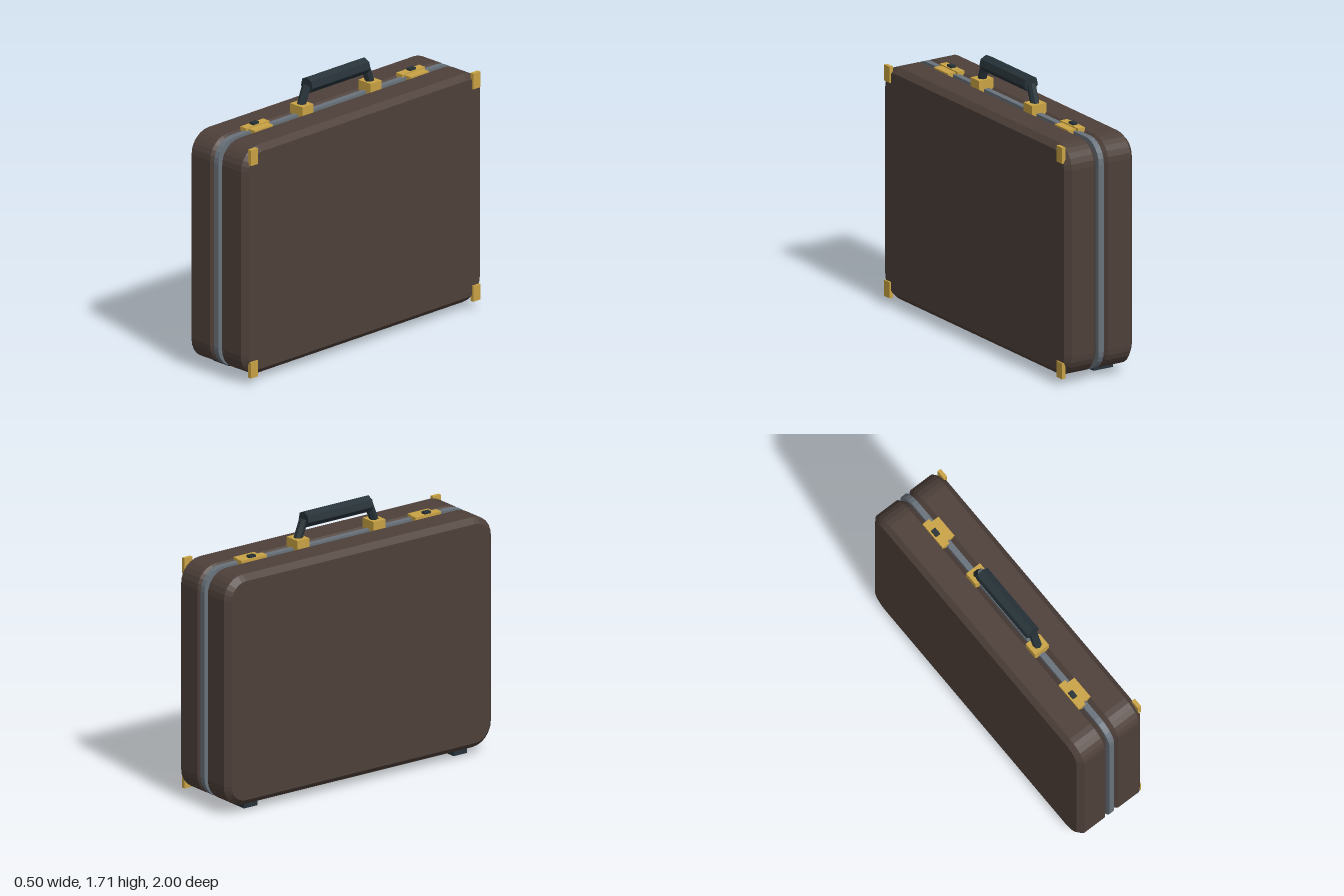
import * as THREE from 'three';

const mat = (name, color, flat = true) => {
  const m = new THREE.MeshStandardMaterial({ color, flatShading: flat });
  m.name = name;
  return m;
};

// Rounded case outline in the z-y plane
function caseOutline() {
  const z = 1, lo = 0.05, hi = 1.5, r = 0.14;
  const s = new THREE.Shape();
  s.absarc(z - r, lo + r, r, -Math.PI / 2, 0, false);
  s.absarc(z - r, hi - r, r, 0, Math.PI / 2, false);
  s.absarc(-z + r, hi - r, r, Math.PI / 2, Math.PI, false);
  s.absarc(-z + r, lo + r, r, Math.PI, Math.PI * 1.5, false);
  s.closePath();
  return s;
}

// Extrudes the outline between two x positions, with an optional chamfer
function slab(x0, x1, chamfer) {
  const t = chamfer ? 0.033 : 0;
  const g = new THREE.ExtrudeGeometry(caseOutline(), {
    depth: x1 - x0 - 2 * t, curveSegments: 3, bevelEnabled: chamfer,
    bevelThickness: t, bevelSize: 0.035, bevelOffset: -0.035, bevelSegments: 1,
  });
  g.rotateY(Math.PI / 2);
  g.translate(x0 + t, 0, 0);
  return g;
}

export function createModel() {
  const brown = mat('brown leather', 0x4e403a);
  const gold = mat('gold brass', 0xc9a344);
  const steel = mat('grey steel', 0x69727b);
  const dark = mat('dark handle', 0x263238);

  const model = new THREE.Group();
  model.name = 'briefcase';
  const add = (name, geo, material) => {
    const m = new THREE.Mesh(geo, material);
    m.name = name;
    model.add(m);
    return m;
  };
  // Box given by its minimum and maximum on each axis
  const box = (name, material, x0, x1, y0, y1, z0, z1) => {
    const m = add(name, new THREE.BoxGeometry(x1 - x0, y1 - y0, Math.abs(z1 - z0)), material);
    m.position.set((x0 + x1) / 2, (y0 + y1) / 2, (z0 + z1) / 2);
  };

  // Two shells and the metal rim between them
  add('rightShell', slab(-0.25, -0.027, true), brown);
  add('leftShell', slab(0.01, 0.235, true), brown);
  add('rim', slab(-0.027, 0.01, false), steel);

  // Grip
  const grip = new THREE.CylinderGeometry(0.05, 0.05, 0.485, 7);
  grip.rotateX(-Math.PI / 2);
  grip.rotateZ(Math.PI);
  const top = grip.clone();
  top.computeBoundingBox();
  if (top.boundingBox.max.y < 0.049) grip.rotateZ(Math.PI); // ridge faces up
  add('grip', grip, dark).position.set(-0.008, 1.66, 0);

  for (const s of [1, -1]) {
    // Handle arm, leaning in towards the grip
    const a = new THREE.Vector3(-0.008, 1.52, s * 0.296);
    const b = new THREE.Vector3(-0.008, 1.66, s * 0.243);
    const dir = b.clone().sub(a);
    const arm = add('handleArm', new THREE.CylinderGeometry(0.028, 0.028, dir.length(), 7), dark);
    arm.position.copy(a).add(b).multiplyScalar(0.5);
    arm.quaternion.setFromUnitVectors(new THREE.Vector3(0, 1, 0), dir.normalize());
    box('handleMount', gold, -0.06, 0.045, 1.48, 1.555, s * 0.24, s * 0.33);

    // Latch plates and button
    box('latchPlate', gold, -0.06, -0.009, 1.475, 1.517, s * 0.555, s * 0.748);
    box('latchCatch', gold, -0.009, 0.045, 1.475, 1.51, s * 0.575, s * 0.728);
    box('latchButton', dark, -0.05, -0.018, 1.515, 1.53, s * 0.632, s * 0.68);

    // Corner plates
    for (const y of [0.05, 1.4]) {
      box('cornerPlate', gold, 0.222, 0.246, y, y + 0.1, s * 0.9, s * 0.96);
    }

    // Foot
    box('foot', dark, -0.2, -0.062, 0.014, 0.055, s * 0.735, s * 0.835);

    // Hinge knuckles, two side by side
    for (const z of [0.447, 0.602]) {
      for (const x of [-0.028, 0.008]) {
        const g = new THREE.CylinderGeometry(0.026, 0.026, 0.106, 7);
        g.rotateX(Math.PI / 2);
        add('hinge', g, steel).position.set(x, 0.026, s * z);
      }
    }
  }
  return model;
}
